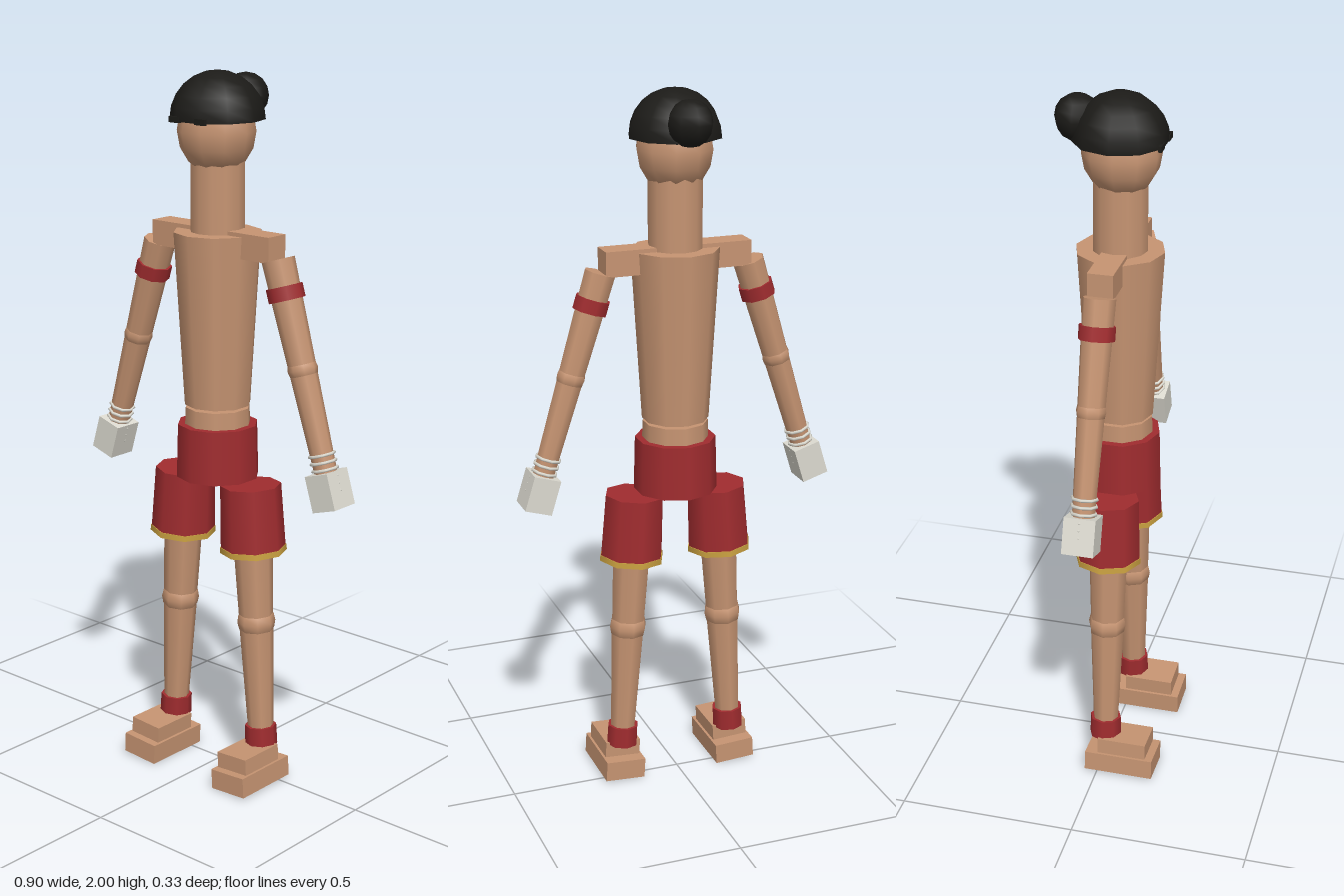
import * as THREE from 'three';

const mat = (color) => new THREE.MeshStandardMaterial({ color });
const skin = mat(0xc69472), red = mat(0xa02c2f), gold = mat(0xc9a040);
const black = mat(0x1c1b18), cloth = mat(0xdcdad0);
const Z = 0.012; // shared body axis

function add(parent, name, geometry, material, x = 0, y = 0, z = 0) {
  const mesh = new THREE.Mesh(geometry, material);
  mesh.name = name;
  mesh.position.set(x, y, z);
  parent.add(mesh);
  return mesh;
}

// Tapered tube between two heights
function tube(parent, name, material, yTop, yBottom, rTop, rBottom, sides = 8, z = 0) {
  const g = new THREE.CylinderGeometry(rTop, rBottom, yTop - yBottom, sides);
  return add(parent, name, g, material, 0, (yTop + yBottom) / 2, z);
}

// Limb group hung from a joint and leaning outward
function limb(parent, name, side, x, y, angle) {
  const g = new THREE.Group();
  g.name = name;
  g.position.set(side * x, y, Z);
  g.rotation.z = side * angle;
  parent.add(g);
  return g;
}

function buildHead(model) {
  const head = new THREE.Group();
  head.name = 'head';
  model.add(head);
  add(head, 'face', new THREE.SphereGeometry(0.107, 10, 8), skin, 0, 1.84, 0.016).scale.y = 1.12;
  const hair = new THREE.SphereGeometry(0.129, 10, 6, 0, Math.PI * 2, 0, Math.PI / 2);
  const hairMat = mat(0x1c1b18);
  hairMat.side = THREE.DoubleSide;
  add(head, 'hair', hair, hairMat, 0, 1.871, Z);
  add(head, 'hairBun', new THREE.SphereGeometry(0.063, 8, 8), black, 0, 1.923, -0.103);
  for (const s of [1, -1]) {
    add(head, 'eyebrow', new THREE.BoxGeometry(0.036, 0.016, 0.01), black, s * 0.045, 1.876, 0.131);
  }
}

function buildTorso(model) {
  tube(model, 'neck', skin, 1.78, 1.56, 0.075, 0.075, 12, Z);
  tube(model, 'torso', skin, 1.569, 1.086, 0.122, 0.093, 10, Z);
  tube(model, 'waist', skin, 1.078, 1.02, 0.091, 0.093, 10, Z);
  tube(model, 'hips', red, 1.03, 0.878, 0.113, 0.117, 10, Z);
}

function buildArm(model, side) {
  add(model, 'shoulder', new THREE.BoxGeometry(0.15, 0.07, 0.07), skin, side * 0.134, 1.545, Z);
  const arm = limb(model, 'arm', side, 0.214, 1.518, 0.3);
  tube(arm, 'upperArm', skin, 0, -0.295, 0.045, 0.038);
  tube(arm, 'armBand', red, -0.072, -0.11, 0.05, 0.05);
  add(arm, 'elbow', new THREE.SphereGeometry(0.041, 8, 8), skin, 0, -0.298, 0);
  tube(arm, 'forearm', skin, -0.295, -0.585, 0.038, 0.031);
  add(arm, 'hand', new THREE.BoxGeometry(0.078, 0.1, 0.087), cloth, 0, -0.63, 0);
  // Wrist wraps; the lower ones only break the surface of the hand
  for (let i = 0; i < 6; i++) {
    const r = i < 3 ? 0.034 : 0.0365;
    const wrap = add(arm, 'wrap', new THREE.TorusGeometry(r, 0.0045, 6, 8), cloth, 0, -0.532 - i * 0.02, 0);
    wrap.rotation.x = Math.PI / 2;
  }
}

function buildLeg(model, side) {
  const leg = limb(model, 'leg', side, 0.122, 0.873, 0.058);
  tube(leg, 'shorts', red, 0, -0.182, 0.085, 0.091);
  tube(leg, 'shortsHem', gold, -0.178, -0.194, 0.093, 0.094);
  tube(leg, 'thigh', skin, -0.15, -0.4, 0.056, 0.048);
  add(leg, 'knee', new THREE.SphereGeometry(0.054, 8, 8), skin, 0, -0.401, 0);
  tube(leg, 'shin', skin, -0.4, -0.76, 0.049, 0.035);
  tube(leg, 'ankleBand', red, -0.714, -0.774, 0.045, 0.046);
  add(leg, 'footTop', new THREE.BoxGeometry(0.104, 0.046, 0.142), skin, 0, -0.79, 0.06);
  add(leg, 'sole', new THREE.BoxGeometry(0.117, 0.058, 0.2), skin, 0, -0.843, 0.053);
}

export function createModel() {
  const model = new THREE.Group();
  model.name = 'figure';
  buildHead(model);
  buildTorso(model);
  for (const side of [1, -1]) {
    buildArm(model, side);
    buildLeg(model, side);
  }
  return model;
}
